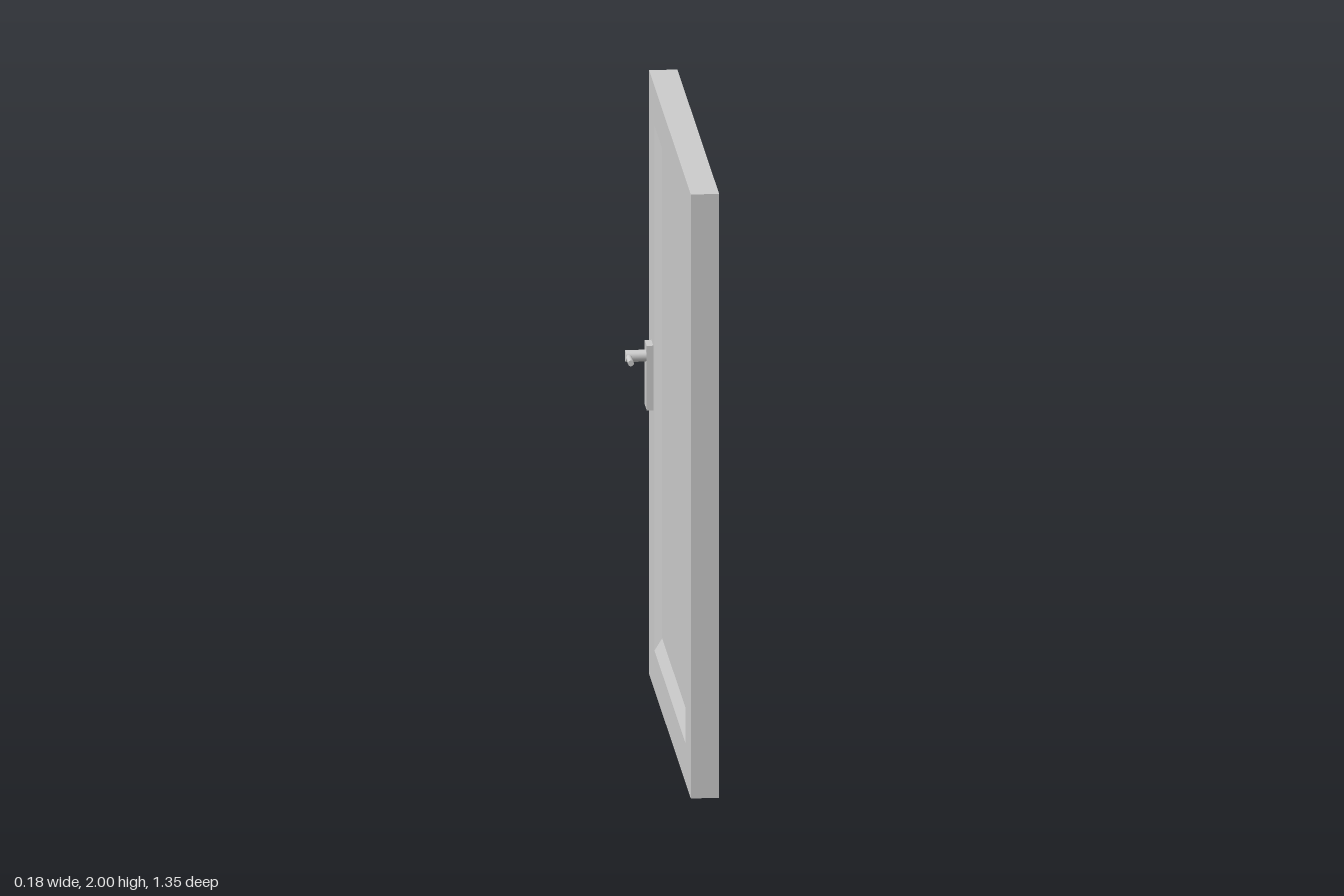
import * as THREE from 'three';

const material = new THREE.MeshStandardMaterial({ color: 0xcccccc });
const flat = new THREE.MeshStandardMaterial({ color: 0xcccccc, flatShading: true });

function addMesh(parent, name, geometry, mat, x, y, z) {
  const mesh = new THREE.Mesh(geometry, mat);
  mesh.name = name;
  mesh.position.set(x, y, z);
  parent.add(mesh);
  return mesh;
}

// Skin a chain of rectangles [x, halfDepth, halfHeight] running from -x to +x, closing both ends
function loftRectangles(rings) {
  const corners = [[1, -1], [-1, -1], [-1, 1], [1, 1]];
  const points = rings.map(([x, d, h]) => corners.map(([sz, sy]) => [x, sy * h, sz * d]));
  const positions = [];
  const quad = (a, b, c, d) => positions.push(...a, ...b, ...c, ...a, ...c, ...d);
  for (let i = 0; i < points.length - 1; i++) {
    const a = points[i], b = points[i + 1];
    for (let j = 0; j < 4; j++) {
      const k = (j + 1) % 4;
      quad(a[j], a[k], b[k], b[j]);
    }
  }
  quad(...points[0].slice().reverse());
  quad(...points[points.length - 1]);
  const geometry = new THREE.BufferGeometry();
  geometry.setAttribute('position', new THREE.Float32BufferAttribute(positions, 3));
  geometry.computeVertexNormals();
  return geometry;
}

export function createModel() {
  const model = new THREE.Group();
  model.name = 'door';

  // Door leaf with a bevelled recessed panel on both faces
  const half = 0.045, recess = 0.022;
  const side = [
    [half, 0.677, 1],
    [half, 0.503, 0.869],
    [half - recess, 0.477, 0.821],
  ];
  const otherSide = side.map(([x, d, h]) => [-x, d, h]).reverse();
  addMesh(model, 'doorLeaf', loftRectangles([...otherSide, ...side]), flat, 0.042, 1, 0);

  // Handle on the -x face
  const handle = new THREE.Group();
  handle.name = 'handle';
  model.add(handle);
  addMesh(handle, 'handlePlate', new THREE.BoxGeometry(0.021, 0.214, 0.065), material, -0.0135, 1.022, -0.574);

  const spindle = new THREE.CylinderGeometry(0.019, 0.019, 0.068, 24).rotateZ(Math.PI / 2);
  addMesh(handle, 'handleSpindle', spindle, material, -0.055, 1.089, -0.568);

  const lever = new THREE.CylinderGeometry(0.0095, 0.0095, 0.08, 20).rotateX(Math.PI / 2);
  addMesh(handle, 'handleLever', lever, material, -0.0795, 1.089, -0.527);

  return model;
}
